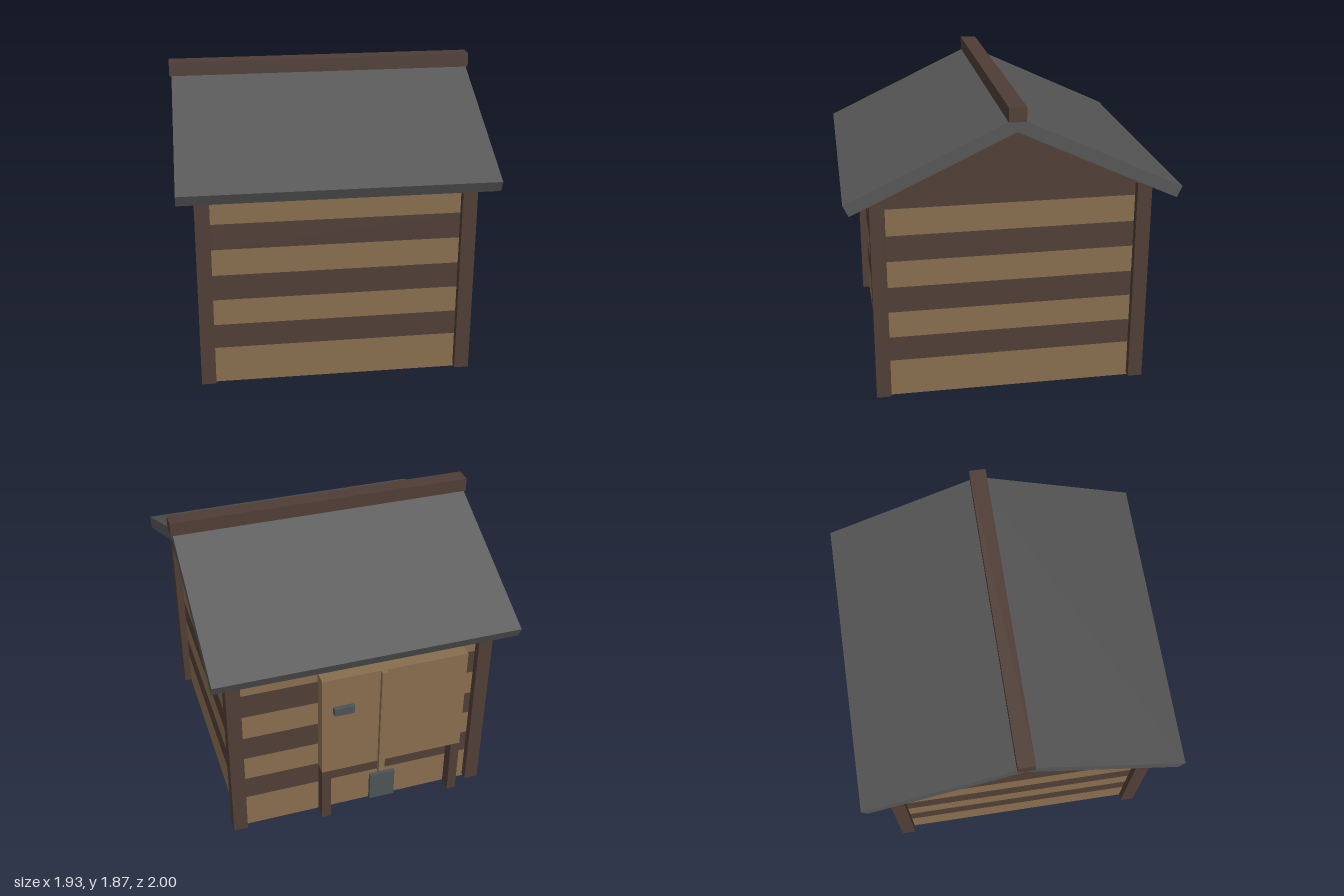
import * as THREE from 'three';

const mat = (name, color) => {
  const m = new THREE.MeshStandardMaterial({ color });
  m.name = name;
  return m;
};

export function createModel() {
  const tan = mat('lightWood', 0x876d4d);
  const dark = mat('darkWood', 0x4f3d36);
  const felt = mat('roofFelt', 0x555555);
  const metal = mat('metal', 0x4d5456);
  const model = new THREE.Group();
  model.name = 'shed';

  // Box given by its limits on each axis
  const box = (name, material, [x0, x1], [y0, y1], [z0, z1], parent = model) => {
    const mesh = new THREE.Mesh(new THREE.BoxGeometry(x1 - x0, y1 - y0, z1 - z0), material);
    mesh.position.set((x0 + x1) / 2, (y0 + y1) / 2, (z0 + z1) / 2);
    mesh.name = name;
    parent.add(mesh);
  };

  // Outline in the z-y plane, extruded along x and centred
  const prism = (name, material, points, halfLength) => {
    const shape = new THREE.Shape(points.map(([z, y]) => new THREE.Vector2(z, y)));
    const geo = new THREE.ExtrudeGeometry(shape, { depth: halfLength * 2, bevelEnabled: false });
    geo.translate(0, 0, -halfLength).rotateY(Math.PI / 2);
    const mesh = new THREE.Mesh(geo, material);
    mesh.name = name;
    model.add(mesh);
  };

  // Walls: stacked courses of alternating wood
  const walls = new THREE.Group();
  walls.name = 'walls';
  model.add(walls);
  const levels = [0, 0.24, 0.4, 0.57, 0.735, 0.905, 1.07, 1.24, 1.335];
  for (let i = 0; i < levels.length - 1; i++) {
    box('wallCourse', i % 2 ? dark : tan, [-0.8, 0.8], [levels[i], levels[i + 1]], [-0.8, 0.8], walls);
  }

  // Corner posts
  for (const x of [-0.803, 0.803]) {
    for (const z of [-0.803, 0.803]) {
      box('cornerPost', dark, [x - 0.045, x + 0.045], [0.015, 1.345], [z - 0.045, z + 0.045]);
    }
  }

  // Gable block, roof and ridge cap
  prism('gable', dark, [[-0.8, 1.345], [0.8, 1.345], [0, 1.705]], 0.88);
  prism('roof', felt, [
    [-1, 1.335], [-0.967, 1.266], [0, 1.718], [0.967, 1.266], [1, 1.335], [0, 1.803],
  ], 0.95);
  box('ridgeCap', dark, [-0.963, 0.963], [1.78, 1.867], [-0.052, 0.052]);

  // Door on the back: panel on two legs, centre batten, handle and latch plate
  const door = new THREE.Group();
  door.name = 'door';
  model.add(door);
  box('doorPanel', tan, [-0.67, 0.27], [0.4, 1.135], [-0.89, -0.8], door);
  for (const x of [-0.67, 0.21]) {
    box('doorLeg', dark, [x, x + 0.06], [0, 0.4], [-0.89, -0.81], door);
  }
  box('doorBatten', tan, [-0.14, -0.1], [0.27, 1.135], [-0.92, -0.89], door);
  box('doorHandle', metal, [0.07, 0.2], [0.872, 0.925], [-0.92, -0.89], door);
  box('latchPlate', metal, [-0.2, -0.035], [0.135, 0.335], [-0.945, -0.92], door);

  return model;
}
